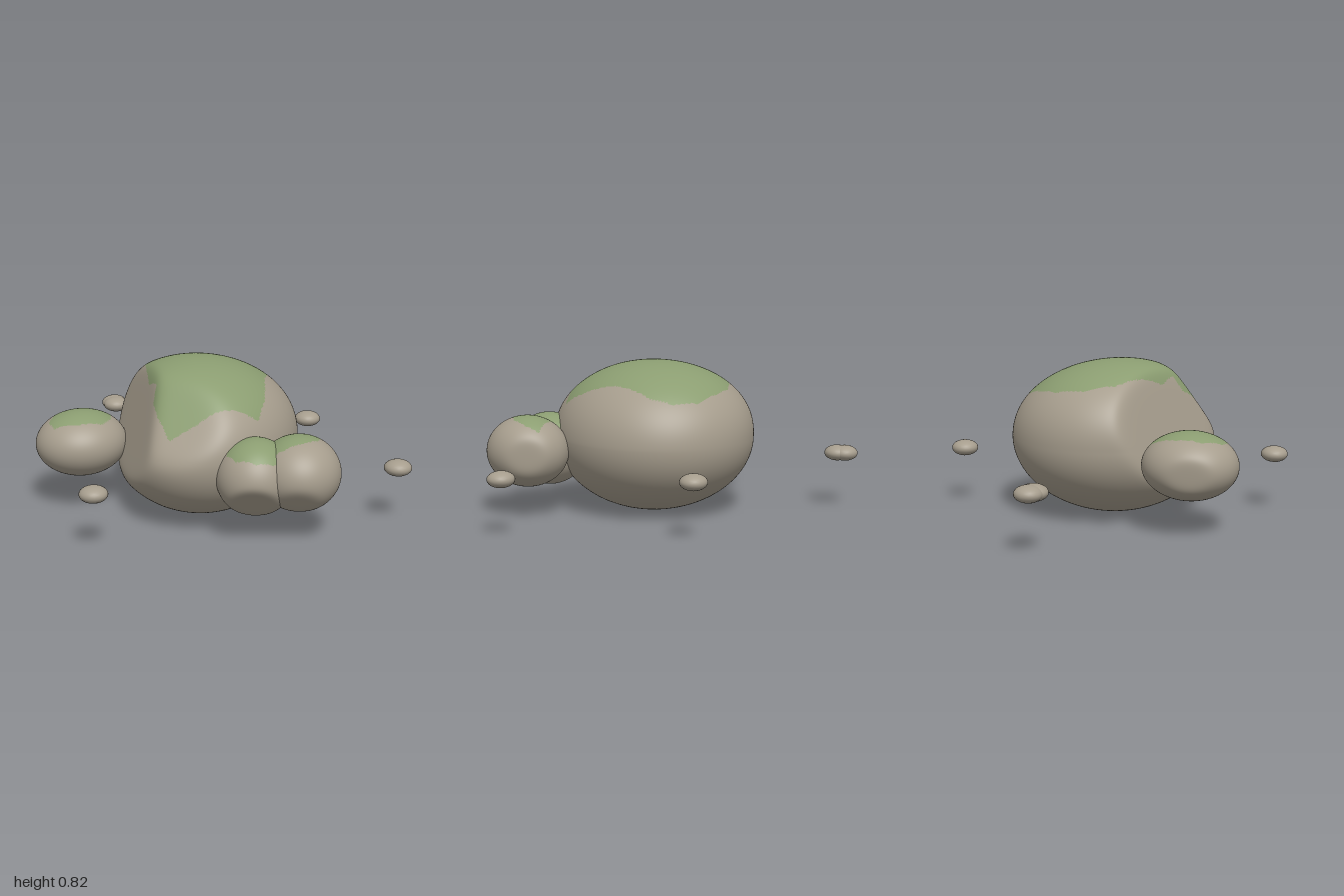
import * as THREE from 'three';
import { mergeVertices } from 'three/addons/utils/BufferGeometryUtils.js';

const V = (a) => new THREE.Vector3(...a);

// True when (x, z) lies inside the outline
function inside(outline, x, z) {
  let hit = false;
  for (let i = 0, j = outline.length - 1; i < outline.length; j = i++) {
    const [xi, zi] = outline[i], [xj, zj] = outline[j];
    if ((zi > z) !== (zj > z) && x < (xj - xi) * (z - zi) / (zj - zi) + xi) hit = !hit;
  }
  return hit;
}

// Warped ellipsoid stone with softly worn flat cuts; faces under the outline become moss
function stoneGeometry({ center, radii, detail, warp = () => {}, cuts = [], moss = [] }) {
  let geo = new THREE.IcosahedronGeometry(1, detail);
  geo.deleteAttribute('uv');
  geo.deleteAttribute('normal');
  geo = mergeVertices(geo, 1e-5);
  const pos = geo.attributes.position, c = V(center), r = V(radii), p = new THREE.Vector3();
  const wear = 24; // higher is a sharper crease
  for (let i = 0; i < pos.count; i++) {
    p.fromBufferAttribute(pos, i).multiply(r);
    warp(p);
    for (const { normal, point } of cuts) {
      const n = V(normal), q = n.dot(p) / n.dot(V(point).sub(c));
      if (q > 0) p.multiplyScalar((1 + q ** wear) ** (-1 / wear));
    }
    p.add(c);
    pos.setXYZ(i, p.x, p.y, p.z);
  }
  const bare = [], mossy = [], idx = geo.index.array;
  for (let f = 0; f < idx.length; f += 3) {
    const tri = [idx[f], idx[f + 1], idx[f + 2]];
    const mean = (get) => tri.reduce((s, i) => s + get(i), 0) / 3;
    const x = mean((i) => pos.getX(i)), y = mean((i) => pos.getY(i)), z = mean((i) => pos.getZ(i));
    (y > center[1] && inside(moss, x, z) ? mossy : bare).push(...tri);
  }
  geo.setIndex([...bare, ...mossy]);
  geo.addGroup(0, bare.length, 0);
  geo.addGroup(bare.length, mossy.length, 1);
  geo.computeVertexNormals();
  return geo;
}

export function createModel() {
  const group = new THREE.Group();
  const stone = new THREE.MeshStandardMaterial({ color: 0xa69d8d });
  stone.name = 'stone';
  const moss = new THREE.MeshStandardMaterial({ color: 0x8b9d71 });
  moss.name = 'moss';

  // Undercut shared by the two front stones
  const undercut = { normal: [0, -0.65, 0.75], point: [0.3, 0.33, 0.785] };

  const boulders = {
    // Large boulder, narrower toward the front, fuller on top, with a split side and worn brow
    mainBoulder: {
      center: [-0.115, 0.41, 0.095], radii: [0.52, 0.41, 0.565], detail: 42,
      warp: (p) => {
        p.x *= 1 - 0.15 * (p.z + 0.095);
        if (p.y > 0) {
          p.x -= 0.08 * p.y;
          p.y = 0.41 * (p.y / 0.41) ** 0.92;
        }
      },
      cuts: [
        { normal: [-0.88, 0.3, 0.3], point: [-0.55, 0.2, 0.2] },
        { normal: [-0.25, 0.6, 0.75], point: [-0.24, 0.51, 0.565] },
      ],
      moss: [[-0.07, -0.35], [0.09, -0.33], [0.2, -0.24], [0.24, -0.13], [0.22, 0.1], [0.23, 0.3],
        [0.2, 0.45], [0.05, 0.5], [-0.1, 0.545], [-0.24, 0.565], [-0.31, 0.46], [-0.34, 0.37],
        [-0.33, 0.3], [-0.38, 0.2], [-0.42, 0], [-0.43, -0.12], [-0.35, -0.26], [-0.2, -0.34]],
    },
    // Smaller stones leaning against it
    sideBoulder: {
      center: [-0.76, 0.347, 0.105], radii: [0.242, 0.175, 0.236], detail: 22,
      warp: (p) => { p.z -= 0.06 * p.x; },
      cuts: [{ normal: [-0.75, -0.1, -0.65], point: [-0.92, 0.34, -0.035] }],
      moss: [[-0.62, -0.06], [-0.71, -0.05], [-0.8, -0.02], [-0.9, 0.07], [-0.92, 0.18],
        [-0.88, 0.25], [-0.75, 0.25], [-0.63, 0.2], [-0.6, 0.12], [-0.61, 0]],
    },
    frontInnerBoulder: {
      center: [0.19, 0.332, 0.57], radii: [0.2, 0.2, 0.212], detail: 22,
      cuts: [undercut],
      moss: [[0.06, 0.57], [0.05, 0.64], [0.1, 0.71], [0.2, 0.74], [0.28, 0.72], [0.35, 0.66],
        [0.35, 0.45], [0.25, 0.4], [0.17, 0.46]],
    },
    frontOuterBoulder: {
      center: [0.41, 0.35, 0.547], radii: [0.212, 0.193, 0.227], detail: 22,
      cuts: [{ normal: [0.84, 0, -0.54], point: [0.515, 0.35, 0.345] }, undercut],
      moss: [[0.26, 0.45], [0.42, 0.42], [0.5, 0.4], [0.52, 0.47], [0.5, 0.57], [0.43, 0.63],
        [0.33, 0.66], [0.25, 0.66]],
    },
  };
  for (const [name, spec] of Object.entries(boulders)) {
    const mesh = new THREE.Mesh(stoneGeometry(spec), [stone, moss]);
    mesh.name = name;
    group.add(mesh);
  }

  // Scattered flat pebbles
  const pebbleGeo = stoneGeometry({ center: [0, 0, 0], radii: [0.073, 0.043, 0.071], detail: 4 });
  pebbleGeo.clearGroups();
  const spots = [[-0.705, -0.795], [-0.69, -0.757], [0.455, -0.53], [0.92, 0.31], [-0.595, 0.79]];
  spots.forEach(([x, z], i) => {
    const pebble = new THREE.Mesh(pebbleGeo, stone);
    pebble.name = `pebble${i + 1}`;
    pebble.position.set(x, 0.304, z);
    group.add(pebble);
  });
  return group;
}
